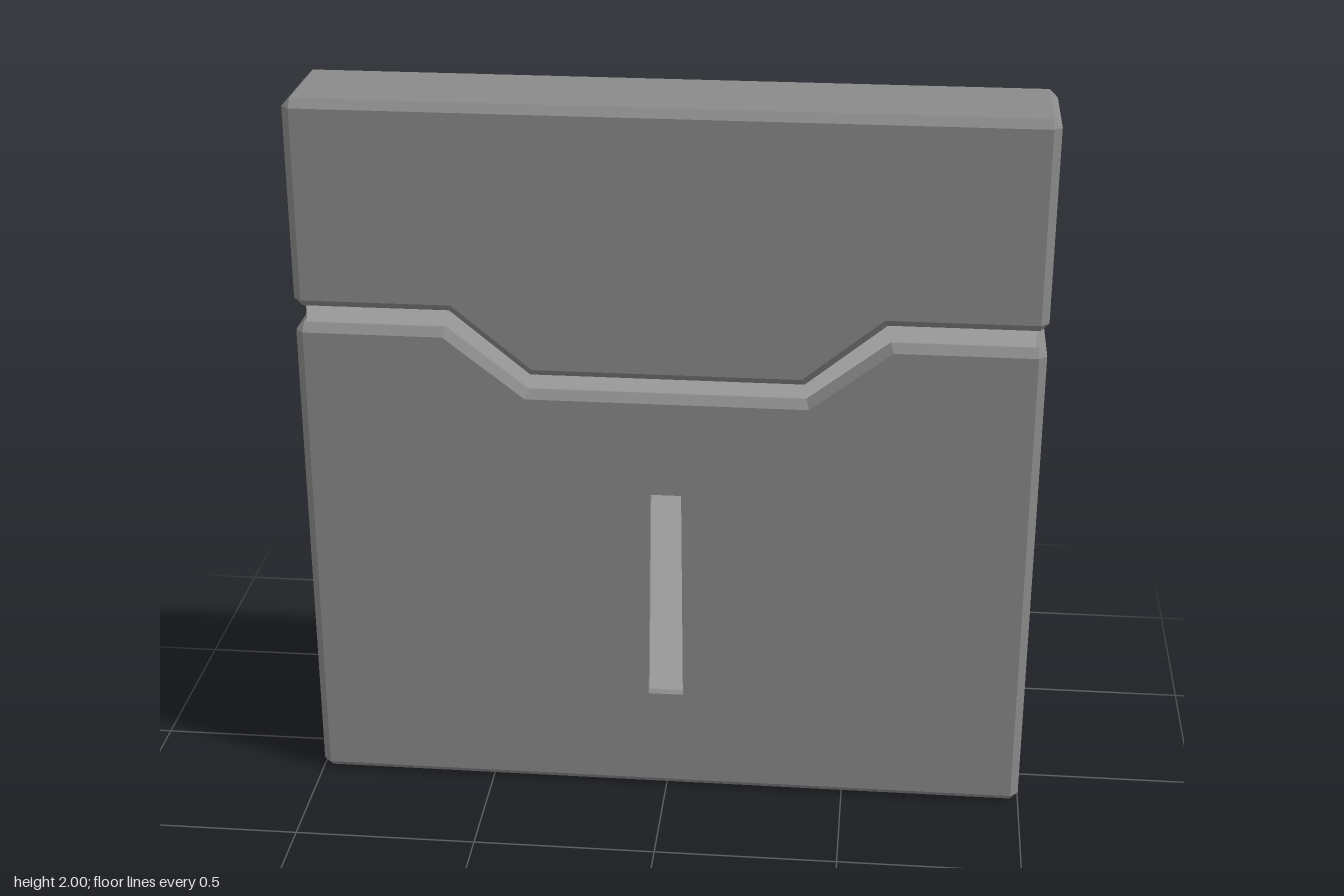
import * as THREE from 'three';

const HALF = 0.157;   // half thickness
const BEVEL = 0.022;  // chamfer width

const shellMat = new THREE.MeshStandardMaterial({ color: 0x8a8a8a, flatShading: true });
const coreMat = new THREE.MeshStandardMaterial({ color: 0xcccccc, flatShading: true });

const v = (x, y) => new THREE.Vector2(x, y);

// Mirrors the right half of an outline (listed counter-clockwise) onto the left
const mirrored = (half) => [
  ...half.map(([x, y]) => v(x, y)),
  ...half.slice().reverse().map(([x, y]) => v(-x, y)),
];

// Chamfered slab from a counter-clockwise outline, with an optional clockwise straight cut-out
function slab(points, hole) {
  const pos = [];
  const put = (p, z) => pos.push(p.x, p.y, z);
  const tri = (a, za, b, zb, c, zc) => { put(a, za); put(b, zb); put(c, zc); };

  const outer = [], inset = [], cap = [];
  points.forEach((p, i) => {
    const prev = points[(i + points.length - 1) % points.length];
    const next = points[(i + 1) % points.length];
    const d1 = p.clone().sub(prev).normalize();
    const d2 = next.clone().sub(p).normalize();
    // Mitred inward offset
    const n1 = v(-d1.y, d1.x), n2 = v(-d2.y, d2.x);
    const inner = p.clone().addScaledVector(n1.clone().add(n2), BEVEL / (1 + n1.dot(n2)));
    cap.push(inner);
    if (Math.abs(p.x) > 0.99) { // outside corners are cut off
      outer.push(p.clone().addScaledVector(d1, -BEVEL), p.clone().addScaledVector(d2, BEVEL));
      inset.push(inner, inner);
    } else {
      outer.push(p);
      inset.push(inner);
    }
  });

  // Walls between successive rings, from back to front
  const walls = (rings) => {
    for (let k = 0; k + 1 < rings.length; k++) {
      const [r, z] = rings[k], [s, w] = rings[k + 1];
      for (let i = 0; i < r.length; i++) {
        const j = (i + 1) % r.length;
        if (r[i] !== r[j]) tri(r[i], z, r[j], z, s[j], w);
        if (s[i] !== s[j]) tri(r[i], z, s[j], w, s[i], w);
      }
    }
  };
  walls([[inset, -HALF], [outer, BEVEL - HALF], [outer, HALF - BEVEL], [inset, HALF]]);
  if (hole) walls([[hole, -HALF], [hole, HALF]]);

  // Front and back faces
  const all = hole ? [...cap, ...hole] : cap;
  for (const [a, b, c] of THREE.ShapeUtils.triangulateShape(cap.slice(), hole ? [hole.slice()] : [])) {
    tri(all[a], HALF, all[b], HALF, all[c], HALF);
    tri(all[c], -HALF, all[b], -HALF, all[a], -HALF);
  }

  const geo = new THREE.BufferGeometry();
  geo.setAttribute('position', new THREE.Float32BufferAttribute(pos, 3));
  geo.computeVertexNormals();
  return geo;
}

export function createModel() {
  const group = new THREE.Group();
  const add = (name, geo, mat) => {
    const mesh = new THREE.Mesh(geo, mat);
    mesh.name = name;
    group.add(mesh);
    return mesh;
  };

  // Lower body, with a slightly tapered slot on both faces
  const slot = [v(-0.05, 0.3), v(-0.043, 0.92), v(0.041, 0.92), v(0.047, 0.3)];
  add('lowerBody', slab(mirrored([[1, 0], [1, 1.38], [0.592, 1.38], [0.374, 1.21]]), slot), shellMat);

  // Upper lid, its lower edge dropping in the middle
  add('upperLid', slab(mirrored([[0.368, 1.252], [0.582, 1.428], [1, 1.428], [1, 2]]), null), shellMat);

  // Inner core, seen in the seam and at the bottom of the slots
  const core = add('innerCore', new THREE.BoxGeometry(1.94, 1.94, 0.26), coreMat);
  core.position.y = 1;

  return group;
}
